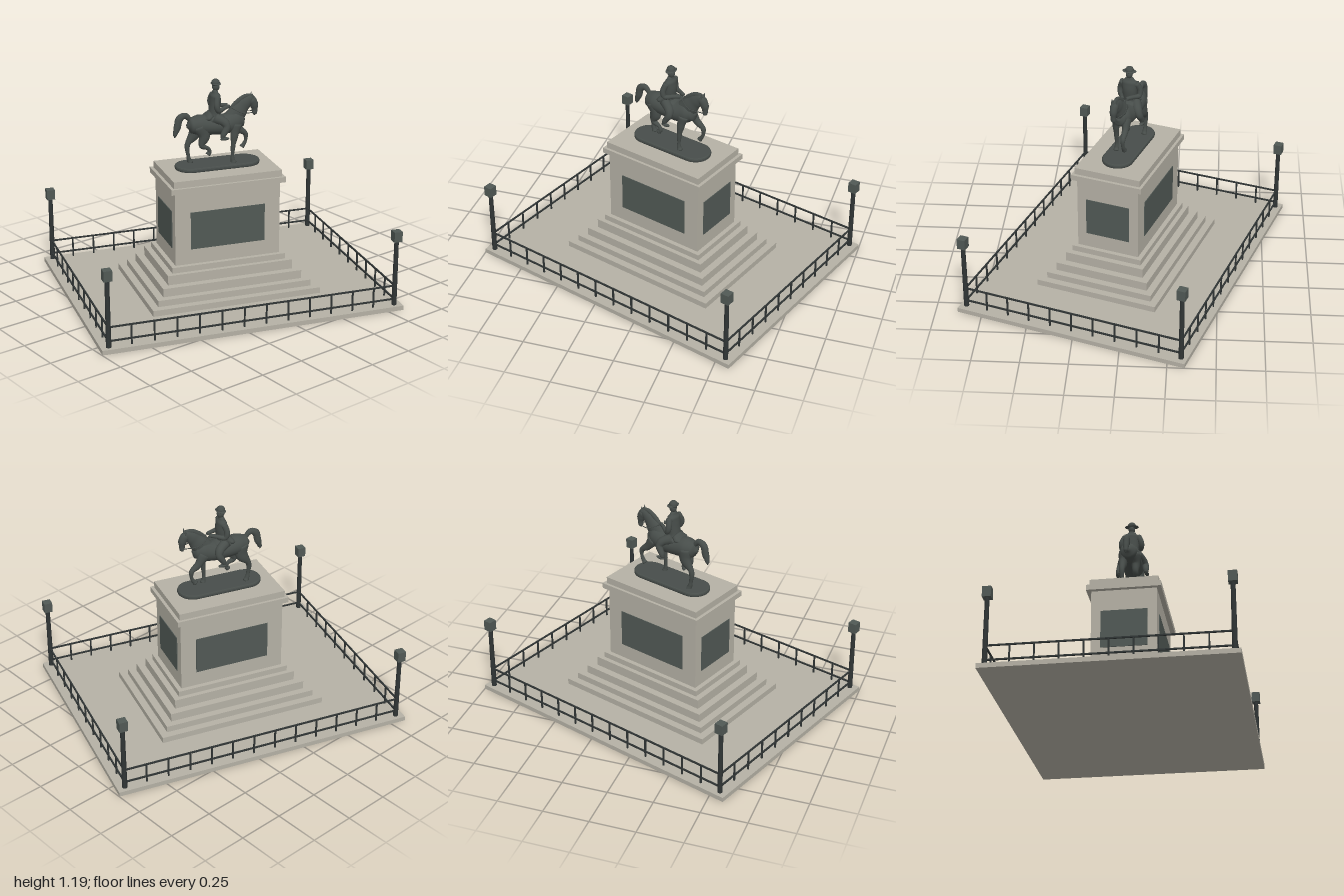
import * as THREE from 'three';

const mat = (name, color) => {
  const m = new THREE.MeshStandardMaterial({ color });
  m.name = name;
  return m;
};

export function createModel() {
  const stone = mat('stone', 0xb5b1a5);
  const panelBronze = mat('panel bronze', 0x515955);
  const bronze = mat('statue bronze', 0x474d4a);
  const iron = mat('iron', 0x303535);

  const model = new THREE.Group();
  model.name = 'equestrianMonument';
  const site = new THREE.Group();
  site.name = 'site';
  site.rotation.y = -0.331;
  model.add(site);

  const group = (name, parent = site) => {
    const g = new THREE.Group();
    g.name = name;
    parent.add(g);
    return g;
  };
  const add = (parent, name, geo, material, x = 0, y = 0, z = 0) => {
    const m = new THREE.Mesh(geo, material);
    m.name = name;
    m.position.set(x, y, z);
    parent.add(m);
    return m;
  };
  // Box given by its bottom and top heights
  const slab = (parent, name, w, d, y0, y1, material, x = 0, z = 0) =>
    add(parent, name, new THREE.BoxGeometry(w, y1 - y0, d), material, x, (y0 + y1) / 2, z);

  // Rounded limb swept through points [x, y, z, in-plane radius, sideways radius]
  const sweep = (points, steps = 20, sides = 14) => {
    const curve = new THREE.CatmullRomCurve3(points.map(p => new THREE.Vector3(p[0], p[1], p[2])));
    const pos = [], idx = [];
    const last = points.length - 1;
    for (let i = 0; i <= steps; i++) {
      const t = i / steps;
      const c = curve.getPoint(t), T = curve.getTangent(t);
      const B = new THREE.Vector3(0, 0, 1).addScaledVector(T, -T.z).normalize();
      const N = B.clone().cross(T);
      const k = Math.min(Math.floor(t * last), last - 1), f = t * last - k;
      const s = f * f * (3 - 2 * f);
      const r = THREE.MathUtils.lerp(points[k][3], points[k + 1][3], s);
      const q = THREE.MathUtils.lerp(points[k][4] ?? points[k][3], points[k + 1][4] ?? points[k + 1][3], s);
      for (let j = 0; j < sides; j++) {
        const a = (j / sides) * Math.PI * 2;
        const p = c.clone().addScaledVector(N, Math.cos(a) * r).addScaledVector(B, Math.sin(a) * q);
        pos.push(p.x, p.y, p.z);
      }
    }
    const at = (i, j) => i * sides + (j % sides);
    const first = (steps + 1) * sides;
    pos.push(...points[0].slice(0, 3), ...points[last].slice(0, 3));
    for (let j = 0; j < sides; j++) {
      for (let i = 0; i < steps; i++) {
        idx.push(at(i, j), at(i, j + 1), at(i + 1, j), at(i, j + 1), at(i + 1, j + 1), at(i + 1, j));
      }
      idx.push(first, at(0, j + 1), at(0, j), first + 1, at(steps, j), at(steps, j + 1));
    }
    const g = new THREE.BufferGeometry();
    g.setAttribute('position', new THREE.Float32BufferAttribute(pos, 3));
    g.setIndex(idx);
    g.computeVertexNormals();
    return g;
  };
  const limb = (parent, name, points, steps, sides) => add(parent, name, sweep(points, steps, sides), bronze);
  const blob = (parent, name, x, y, z, rx, ry, rz, tilt = 0) => {
    const m = add(parent, name, new THREE.SphereGeometry(1, 18, 12), bronze, x, y, z);
    m.scale.set(rx, ry, rz);
    m.rotation.z = tilt;
    return m;
  };

  // Paved platform, steps and pedestal
  slab(site, 'platform', 1.67, 1.29, 0, 0.025, stone);
  const pedestal = group('pedestal');
  [
    ['step', 0.95, 0.685, 0.025, 0.058], ['step', 0.87, 0.605, 0.058, 0.093],
    ['step', 0.79, 0.53, 0.093, 0.14], ['step', 0.71, 0.45, 0.14, 0.193],
    ['plinth', 0.645, 0.4, 0.193, 0.225], ['die', 0.595, 0.35, 0.225, 0.638],
    ['cornice', 0.645, 0.4, 0.638, 0.668], ['cap', 0.61, 0.37, 0.668, 0.705],
  ].forEach(([name, w, d, y0, y1]) => slab(pedestal, name, w, d, y0, y1, stone));

  // Bronze relief panels on all four faces
  for (const s of [-1, 1]) {
    slab(pedestal, 'longPanel', 0.42, 0.006, 0.31, 0.52, panelBronze, 0, s * 0.176);
    slab(pedestal, 'endPanel', 0.006, 0.248, 0.31, 0.52, panelBronze, s * 0.2985, 0);
  }

  // Railing with corner lamps
  const railing = group('railing');
  const X = 0.793, Z = 0.612;
  for (const s of [-1, 1]) {
    for (const y of [0.054, 0.131]) {
      slab(railing, 'longRail', 2 * X, 0.008, y, y + 0.008, iron, 0, s * Z);
      slab(railing, 'endRail', 0.008, 2 * Z, y, y + 0.008, iron, s * X, 0);
    }
    for (let i = 1; i < 13; i++) slab(railing, 'baluster', 0.008, 0.008, 0.025, 0.138, iron, X * (2 * i / 13 - 1), s * Z);
    for (let i = 1; i < 10; i++) slab(railing, 'baluster', 0.008, 0.008, 0.025, 0.138, iron, s * X, Z * (2 * i / 10 - 1));
    for (const t of [-1, 1]) {
      const lamp = group('cornerLamp', railing);
      add(lamp, 'lampPole', new THREE.CylinderGeometry(0.012, 0.014, 0.37, 10), iron, s * X, 0.21, t * Z);
      slab(lamp, 'lampHead', 0.046, 0.046, 0.393, 0.45, panelBronze, s * X, t * Z);
    }
  }

  // Oval statue base
  const statue = group('statue');
  const oval = new THREE.Shape();
  oval.absarc(0.153, 0, 0.077, -Math.PI / 2, Math.PI / 2);
  oval.absarc(-0.153, 0, 0.077, Math.PI / 2, Math.PI * 1.5);
  const ovalGeo = new THREE.ExtrudeGeometry(oval, {
    depth: 0.008, bevelThickness: 0.008, bevelSize: 0.008, bevelSegments: 2, curveSegments: 20,
  });
  ovalGeo.rotateX(-Math.PI / 2);
  add(statue, 'statueBase', ovalGeo, bronze, 0, 0.713, 0);

  // Horse trunk, neck, head and tail
  const horse = group('horse', statue);
  limb(horse, 'trunk', [
    [-0.172, 0.945, 0, 0.01, 0.01], [-0.148, 0.947, 0, 0.044, 0.045], [-0.1, 0.946, 0, 0.056, 0.058],
    [-0.03, 0.938, 0, 0.052, 0.058], [0.04, 0.938, 0, 0.055, 0.058], [0.1, 0.95, 0, 0.058, 0.052],
    [0.138, 0.953, 0, 0.04, 0.036], [0.155, 0.955, 0, 0.008, 0.008],
  ], 32, 20);
  limb(horse, 'neck', [
    [0.075, 0.955, 0, 0.05, 0.036], [0.115, 0.995, 0, 0.05, 0.033],
    [0.15, 1.035, 0, 0.038, 0.025], [0.185, 1.062, 0, 0.026, 0.02], [0.203, 1.058, 0, 0.012, 0.012],
  ], 24, 16);
  limb(horse, 'head', [
    [0.18, 1.07, 0, 0.012, 0.012], [0.196, 1.055, 0, 0.025, 0.022], [0.209, 1.03, 0, 0.024, 0.02],
    [0.213, 1.0, 0, 0.016, 0.014], [0.212, 0.982, 0, 0.014, 0.014], [0.209, 0.972, 0, 0.005, 0.006],
  ], 20, 14);
  limb(horse, 'mane', [
    [0.06, 1.0, 0, 0.008], [0.105, 1.045, 0, 0.015, 0.012], [0.15, 1.076, 0, 0.014, 0.011],
    [0.19, 1.083, 0, 0.009], [0.21, 1.07, 0, 0.004],
  ], 16, 10);
  for (const s of [-1, 1]) {
    const ear = add(horse, 'ear', new THREE.ConeGeometry(0.008, 0.03, 8), bronze, 0.196, 1.085, s * 0.013);
    ear.rotation.z = -0.2;
  }
  limb(horse, 'tail', [
    [-0.15, 0.975, 0, 0.012], [-0.182, 1.005, 0, 0.017, 0.014], [-0.213, 0.99, 0, 0.021, 0.017],
    [-0.225, 0.945, 0, 0.02, 0.017], [-0.238, 0.905, 0, 0.012], [-0.24, 0.888, 0, 0.003],
  ], 22, 12);

  // Horse legs: one fore and one hind planted, the other two raised
  const legs = {
    plantedForeleg: [[0.095, 0.94, 0.032, 0.034, 0.024], [0.085, 0.885, 0.038, 0.023, 0.018], [0.077, 0.825, 0.04, 0.013],
      [0.073, 0.77, 0.04, 0.009], [0.074, 0.745, 0.04, 0.011], [0.079, 0.726, 0.04, 0.016]],
    raisedForeleg: [[0.1, 0.94, -0.03, 0.034, 0.024], [0.138, 0.887, -0.036, 0.021, 0.017], [0.174, 0.858, -0.038, 0.014],
      [0.176, 0.82, -0.038, 0.009], [0.164, 0.795, -0.038, 0.011], [0.154, 0.782, -0.038, 0.014]],
    plantedHindleg: [[-0.11, 0.95, -0.028, 0.044, 0.03], [-0.118, 0.89, -0.033, 0.034, 0.023], [-0.158, 0.832, -0.033, 0.015],
      [-0.155, 0.77, -0.033, 0.01], [-0.15, 0.745, -0.033, 0.012], [-0.143, 0.726, -0.033, 0.016]],
    raisedHindleg: [[-0.105, 0.95, 0.028, 0.044, 0.03], [-0.085, 0.89, 0.033, 0.032, 0.023], [-0.1, 0.84, 0.033, 0.016],
      [-0.063, 0.818, 0.033, 0.01], [-0.055, 0.798, 0.033, 0.011], [-0.066, 0.784, 0.033, 0.014]],
  };
  for (const [name, pts] of Object.entries(legs)) limb(horse, name, pts, 24, 12);

  // Saddle, with reins to the mouth
  blob(horse, 'saddle', -0.015, 0.975, 0, 0.06, 0.028, 0.056);
  for (const s of [-1, 1]) {
    const rein = new THREE.CatmullRomCurve3([
      new THREE.Vector3(0.062, 1.035, s * 0.01), new THREE.Vector3(0.13, 1.0, s * 0.036), new THREE.Vector3(0.21, 0.99, s * 0.015)]);
    add(horse, 'rein', new THREE.TubeGeometry(rein, 14, 0.0025, 5), bronze);
  }

  // Rider
  const rider = group('rider', statue);
  limb(rider, 'torso', [
    [-0.022, 0.968, 0, 0.036, 0.046], [-0.018, 1.01, 0, 0.031, 0.038], [-0.012, 1.06, 0, 0.031, 0.041],
    [-0.012, 1.1, 0, 0.027, 0.044], [-0.012, 1.122, 0, 0.015, 0.025], [-0.01, 1.135, 0, 0.011, 0.011],
  ], 24, 18);
  limb(rider, 'coatTail', [[-0.035, 1.0, 0, 0.024, 0.04], [-0.06, 0.985, 0, 0.02, 0.05], [-0.085, 0.985, 0, 0.007, 0.035]], 12, 14);
  blob(rider, 'head', -0.008, 1.15, 0, 0.021, 0.024, 0.018);
  blob(rider, 'hatCrown', -0.01, 1.172, 0, 0.023, 0.022, 0.023);
  blob(rider, 'hatBrim', -0.008, 1.167, 0, 0.026, 0.005, 0.039);
  for (const s of [-1, 1]) {
    limb(rider, 'arm', [
      [-0.012, 1.102, s * 0.038, 0.017], [-0.022, 1.06, s * 0.055, 0.016], [-0.012, 1.03, s * 0.054, 0.014],
      [0.03, 1.035, s * 0.03, 0.011], [0.062, 1.038, s * 0.012, 0.01],
    ], 18, 10);
    limb(rider, 'leg', [
      [-0.025, 0.985, s * 0.03, 0.028], [0.02, 0.965, s * 0.058, 0.024], [0.03, 0.94, s * 0.07, 0.02],
      [0.01, 0.905, s * 0.076, 0.016], [0.002, 0.882, s * 0.078, 0.011],
    ], 20, 12);
    blob(rider, 'boot', 0.014, 0.88, s * 0.081, 0.026, 0.009, 0.011);
  }

  return model;
}
